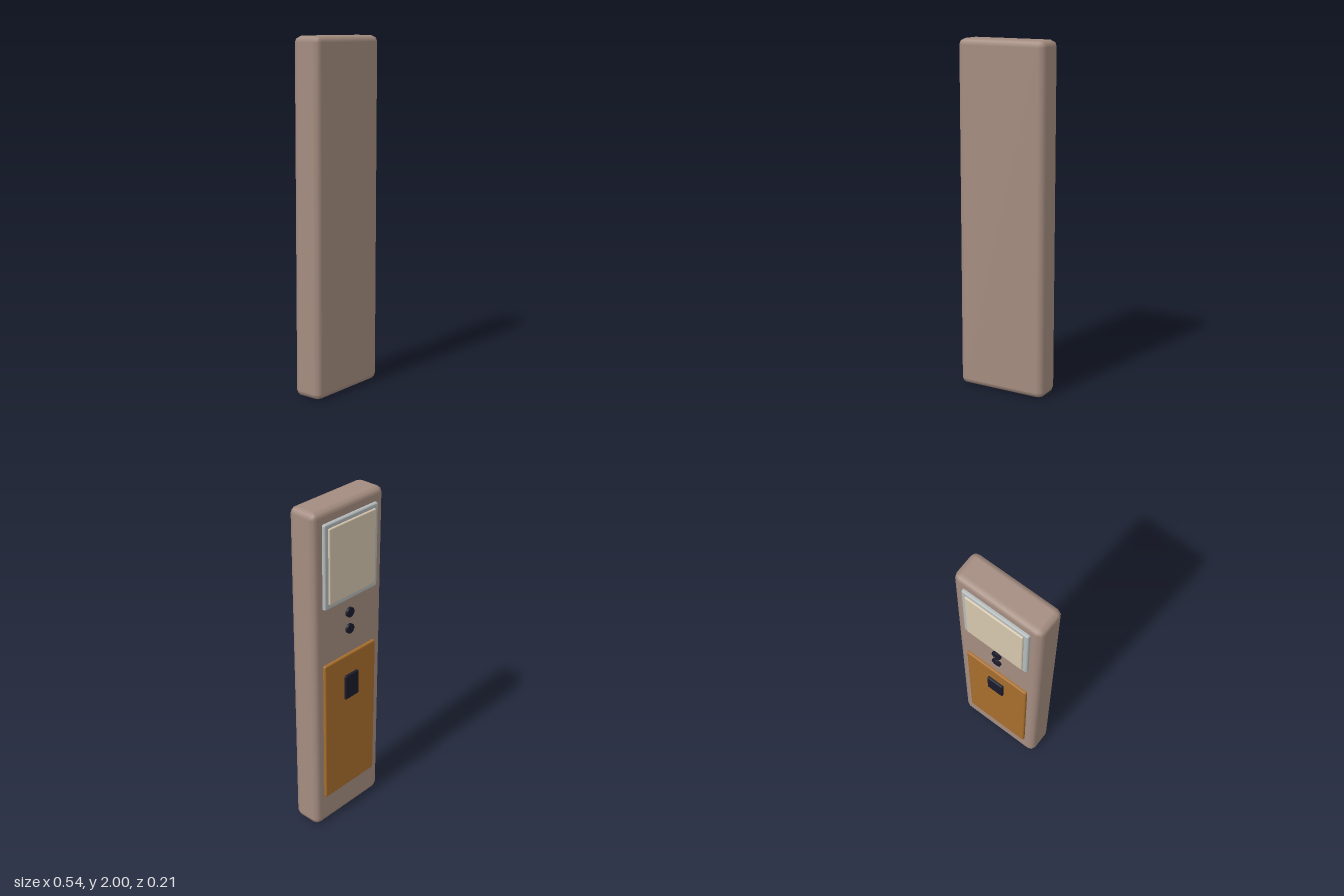
import * as THREE from 'three';
import { RoundedBoxGeometry } from 'three/addons/geometries/RoundedBoxGeometry.js';

const material = (color) => new THREE.MeshStandardMaterial({ color });

export function createModel() {
  const model = new THREE.Group();
  const brown = material(0xa48c80);
  const grey = material(0xb4babb);
  const cream = material(0xd6c7ae);
  const amber = material(0xa86e2c);
  const dark = material(0x1a1a2a);

  // Rounded slab given by width, y range and z range
  function slab(name, width, y0, y1, z0, z1, radius, mat) {
    const geometry = new RoundedBoxGeometry(width, y1 - y0, z1 - z0, 1, radius);
    const mesh = new THREE.Mesh(geometry, mat);
    mesh.position.set(0, (y0 + y1) / 2, (z0 + z1) / 2);
    mesh.name = name;
    model.add(mesh);
  }

  // Main casing
  slab('body', 0.537, 0, 2, -0.074, 0.103, 0.036, brown);

  // Framed window on the upper back
  slab('windowFrame', 0.41, 1.438, 1.93, -0.092, -0.056, 0.01, grey);
  slab('windowPane', 0.357, 1.467, 1.905, -0.102, -0.08, 0.007, cream);

  // Lower cover with its latch
  slab('cover', 0.41, 0.19, 1.093, -0.09, -0.056, 0.01, amber);
  slab('latch', 0.105, 0.813, 0.966, -0.105, -0.08, 0.006, dark);

  // Two round buttons between window and cover
  for (const y of [1.35, 1.248]) {
    const button = new THREE.Mesh(new THREE.CylinderGeometry(0.029, 0.029, 0.03, 16), dark);
    button.rotation.x = -Math.PI / 2;
    button.position.set(0, y, -0.073);
    button.name = 'button';
    model.add(button);
  }

  return model;
}
